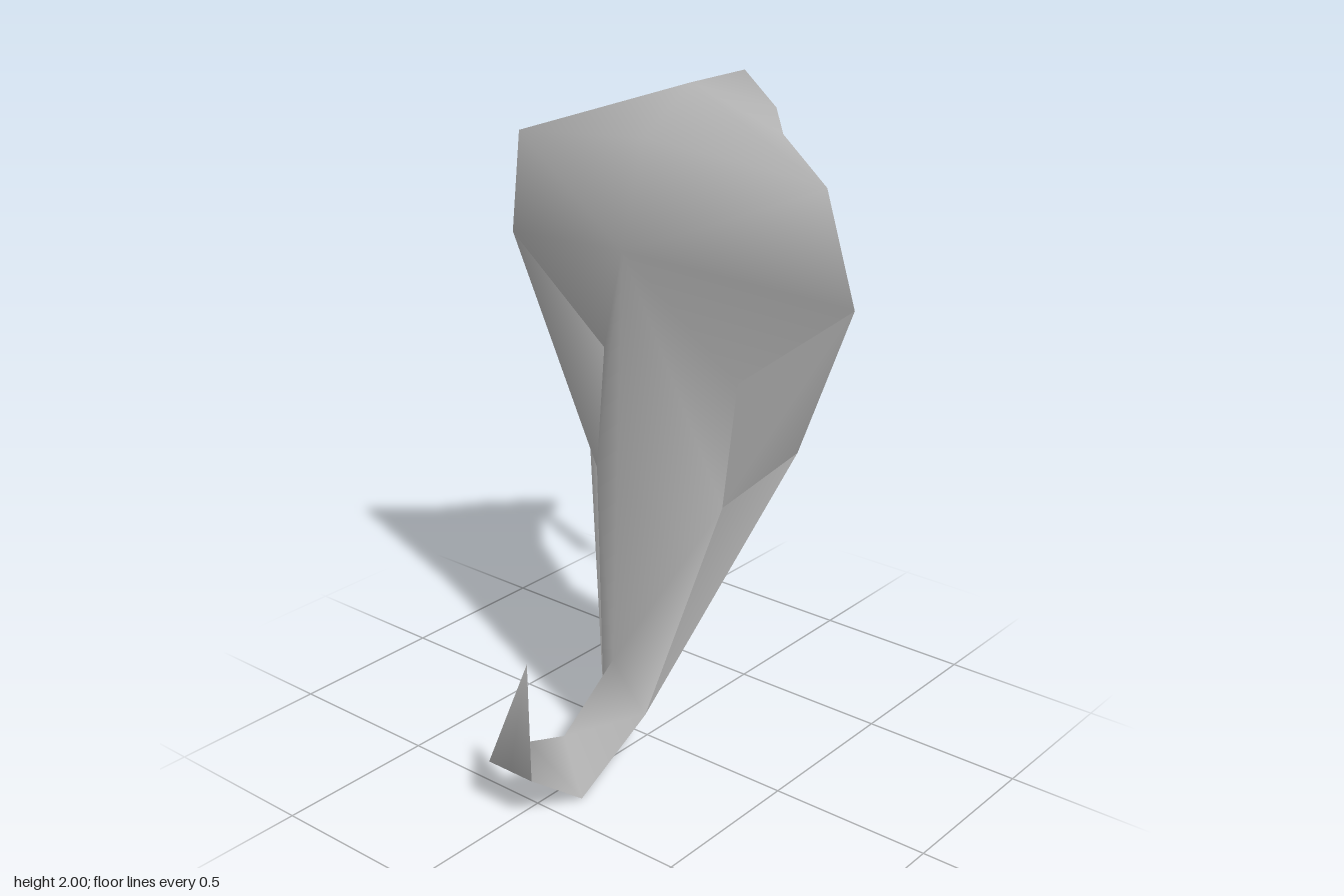
import * as THREE from 'three';

// Key points on the centre line and on the model's left half (mirrored in z)
const P = {
  spineLow: [-0.16, 0.33, 0], spineMid: [-0.11, 1.58, 0],
  nape: [-0.02, 1.88, 0], crown: [0.19, 2, 0], brow: [0.44, 2, 0],
  nose: [0.61, 1.84, 0], lip: [0.57, 1.76, 0],
  cheek: [0.42, 1.91, 0.13], rim: [0.26, 1.88, 0.27],
  hoodTop: [0.07, 1.81, 0.55], hoodWide: [0.11, 1.48, 0.625], hoodLow: [0.19, 0.99, 0.4],
  foldTop: [0.10, 1.19, 0.25], foldLow: [0.05, 0.82, 0.24],
  base: [-0.11, 0.15, 0.083], baseMid: [-0.11, 0.15, 0],
  belly: [0, 0.41, 0], chest: [0.08, 1.27, 0], throat: [0.23, 1.77, 0],
  palate: [0.34, 1.83, 0], jaw: [0.5, 1.79, 0],
  tailBend: [-0.4, 0, 0.083], tailBendMid: [-0.4, 0, 0],
  tailEnd: [-0.61, 0.16, 0.083], tailEndMid: [-0.61, 0.16, 0],
  tailRidge: [-0.38, 0.17, 0], tailNotch: [-0.53, 0.22, 0], tailTip: [-0.53, 0.47, 0],
};

// Builds a symmetric surface; each triangle is wound to face `toward`
function mirroredSurface(faces, toward) {
  const dir = new THREE.Vector3(...toward);
  const positions = [], index = [], ids = new Map();
  const vertex = (name, s) => {
    const [x, y, z] = P[name];
    const key = name + (z === 0 ? 0 : s);
    if (!ids.has(key)) {
      ids.set(key, positions.length / 3);
      positions.push(x, y, z * s);
    }
    return ids.get(key);
  };
  for (const face of faces) {
    const [a, b, c] = face.map((n) => new THREE.Vector3(...P[n]));
    const normal = b.sub(a).cross(c.sub(a));
    const [i, j, k] = normal.dot(dir) >= 0 ? face : [face[0], face[2], face[1]];
    index.push(vertex(i, 1), vertex(j, 1), vertex(k, 1));
    index.push(vertex(i, -1), vertex(k, -1), vertex(j, -1));
  }
  const g = new THREE.BufferGeometry();
  g.setAttribute('position', new THREE.Float32BufferAttribute(positions, 3));
  g.setIndex(index);
  g.computeVertexNormals();
  return g;
}

export function createModel() {
  const group = new THREE.Group();
  const grey = new THREE.MeshStandardMaterial({ color: 0xb4b4b4, side: THREE.DoubleSide });
  grey.name = 'grey';
  const add = (name, geometry) => {
    const mesh = new THREE.Mesh(geometry, grey);
    mesh.name = name;
    group.add(mesh);
  };

  // Outside of the head, hood and body, running on into the ridged tail
  add('outerSkin', mirroredSurface([
    ['spineLow', 'base', 'foldLow'],
    ['spineLow', 'foldLow', 'spineMid'],
    ['foldLow', 'foldTop', 'spineMid'],
    ['foldTop', 'hoodWide', 'spineMid'],
    ['hoodWide', 'hoodTop', 'spineMid'],
    ['hoodTop', 'nape', 'spineMid'],
    ['hoodTop', 'crown', 'nape'],
    ['hoodTop', 'rim', 'crown'],
    ['rim', 'cheek', 'crown'],
    ['crown', 'cheek', 'brow'],
    ['brow', 'cheek', 'nose'],
    ['cheek', 'lip', 'nose'],
    ['base', 'spineLow', 'tailRidge'],
    ['base', 'tailRidge', 'tailBend'],
    ['tailBend', 'tailRidge', 'tailNotch'],
    ['tailBend', 'tailNotch', 'tailEnd'],
    ['tailEnd', 'tailNotch', 'tailTip'],
  ], [-0.5, 0.6, 0.7]));

  // Belly, inside of the hood and roof of the mouth
  add('bellyAndMouth', mirroredSurface([
    ['hoodTop', 'rim', 'throat'],
    ['rim', 'palate', 'throat'],
    ['rim', 'cheek', 'palate'],
    ['cheek', 'jaw', 'palate'],
    ['cheek', 'lip', 'jaw'],
    ['hoodTop', 'throat', 'chest'],
    ['hoodTop', 'chest', 'hoodWide'],
    ['hoodWide', 'chest', 'foldTop'],
    ['foldTop', 'chest', 'foldLow'],
    ['foldLow', 'chest', 'belly'],
    ['foldLow', 'belly', 'base'],
    ['foldLow', 'base', 'hoodLow'],
    ['belly', 'baseMid', 'base'],
  ], [1, -0.5, 0]));

  // Side flaps of the hood
  add('hoodFlaps', mirroredSurface([
    ['hoodWide', 'foldTop', 'foldLow'],
    ['hoodWide', 'foldLow', 'hoodLow'],
  ], [1, 0, -0.3]));

  // Flat underside and back of the curled tail
  add('tailUnderside', mirroredSurface([
    ['base', 'baseMid', 'tailBendMid'],
    ['base', 'tailBendMid', 'tailBend'],
    ['tailBend', 'tailBendMid', 'tailEndMid'],
    ['tailBend', 'tailEndMid', 'tailEnd'],
    ['tailEnd', 'tailEndMid', 'tailTip'],
  ], [-0.5, -1, 0]));

  // Forked tongue hanging from the mouth
  const fork = [[-0.025, 1.8], [-0.05, 1.27], [0, 1.44], [0.05, 1.27], [0.025, 1.8]];
  const tongue = new THREE.ExtrudeGeometry(
    new THREE.Shape(fork.map(([x, y]) => new THREE.Vector2(x, y))),
    { depth: 0.02, bevelEnabled: false });
  tongue.translate(0, 0, -0.01).rotateY(Math.PI / 2).translate(0.5, 0, 0);
  add('tongue', tongue);

  return group;
}
